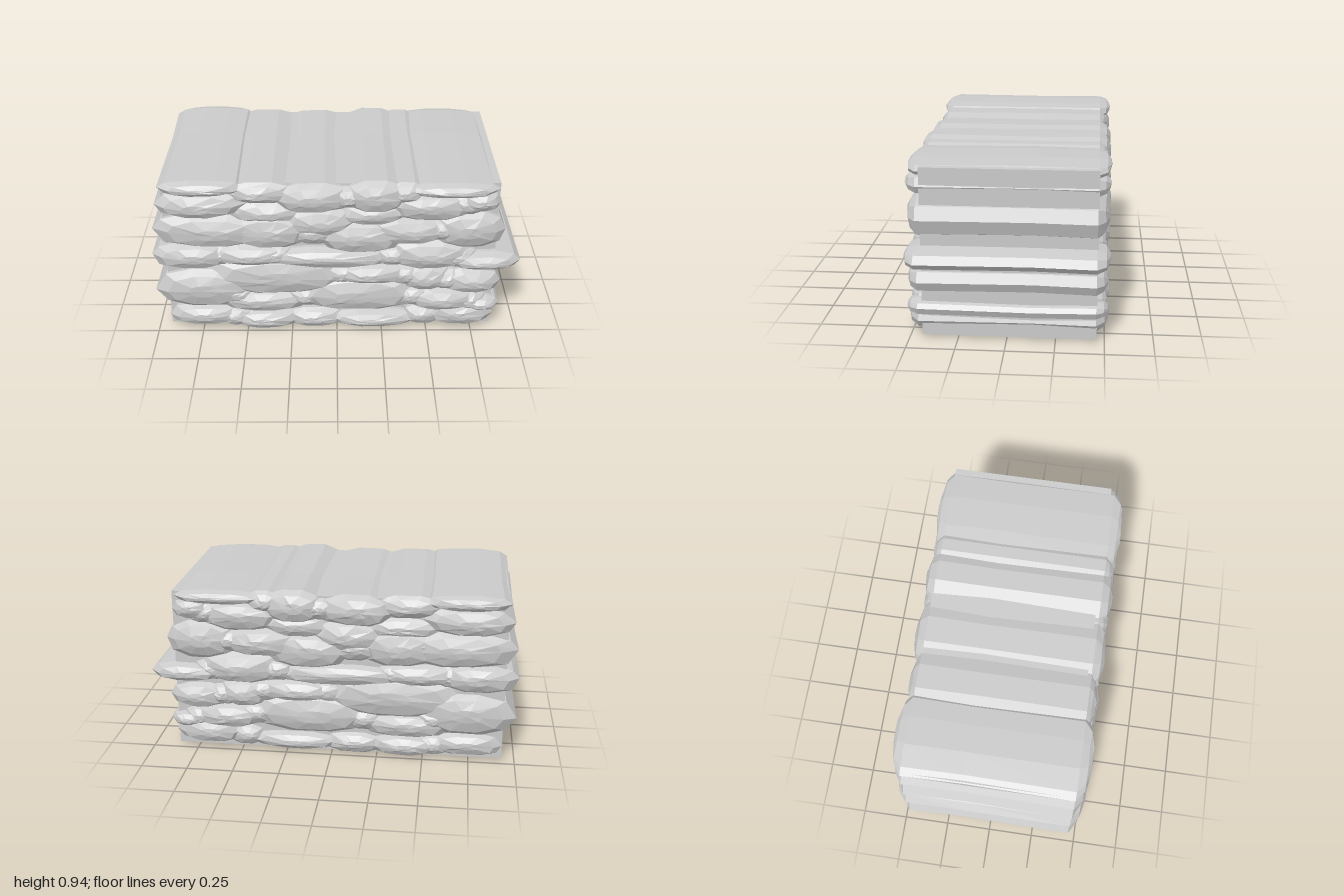
import * as THREE from 'three';

const stoneMat = new THREE.MeshStandardMaterial({ color: 0xcacaca, flatShading: true });
stoneMat.name = 'grey stone';

// small seeded random
let seed = 7;
function rand() {
  seed = (seed * 16807) % 2147483647;
  return seed / 2147483647;
}
const jitter = (a) => (rand() * 2 - 1) * a;

// main stones of each course, bottom to top: [x0, x1, y0, y1]
const courses = [
  [[-0.94, -0.52, 0.02, 0.16], [-0.59, -0.19, 0, 0.13], [-0.05, 0.47, 0.01, 0.12],
    [0.49, 0.87, 0.02, 0.18]],
  [[-0.995, -0.44, 0.14, 0.39], [-0.66, -0.15, 0.11, 0.26], [-0.21, 0.46, 0.11, 0.35],
    [0.38, 0.78, 0.12, 0.27], [0.69, 0.9, 0.12, 0.21]],
  [[-0.72, 0.06, 0.22, 0.47], [-0.01, 0.41, 0.3, 0.43], [0.34, 0.63, 0.25, 0.42],
    [0.56, 0.9, 0.23, 0.39]],
  [[-1.0, -0.58, 0.39, 0.56], [-0.71, -0.24, 0.42, 0.55], [-0.42, 0.34, 0.4, 0.53],
    [0.26, 0.73, 0.39, 0.58], [0.6, 1.0, 0.39, 0.5]],
  [[-0.985, -0.38, 0.53, 0.74], [-0.58, -0.15, 0.52, 0.74], [-0.1, 0.37, 0.49, 0.7],
    [0.15, 0.6, 0.55, 0.72], [0.51, 0.905, 0.52, 0.75]],
  [[-0.96, -0.48, 0.71, 0.88], [-0.28, 0.1, 0.6, 0.78], [0.28, 0.72, 0.69, 0.86],
    [0.65, 0.865, 0.75, 0.87]],
  [[-0.95, -0.48, 0.85, 0.936], [-0.33, 0.09, 0.74, 0.92], [0.04, 0.38, 0.74, 0.938],
    [0.35, 0.865, 0.84, 0.92]],
];

// a small stone tucked into the joint between two neighbours
function wedge(a, b) {
  const x = (a[1] + b[0]) / 2;
  const y = (a[2] + a[3] + b[2] + b[3]) / 4;
  const rx = Math.max(0, b[0] - a[1]) / 2 + 0.1;
  return [x - rx, x + rx, y - 0.065, y + 0.065];
}

// a stone runs the full depth of the wall and bulges at both ends
function stoneGeometry([x0, x1, y0, y1], reach) {
  const sides = 10;
  const cx = (x0 + x1) / 2, cy = (y0 + y1) / 2;
  const rx = (x1 - x0) / 2, ry = (y1 - y0) / 2;
  const tip = reach + jitter(0.004);

  // blunt outline with uneven corners
  const outline = [];
  for (let i = 0; i < sides; i++) {
    const a = ((i + jitter(0.15)) / sides) * Math.PI * 2;
    const c = Math.cos(a), s = Math.sin(a);
    outline.push([
      Math.sign(c) * Math.abs(c) ** 0.9 * rx * (1 + jitter(0.03)),
      Math.sign(s) * Math.abs(s) ** 0.8 * ry * (1 + jitter(0.03)),
    ]);
  }

  // [z, scale] rings from back to front, the ends leaning off centre
  const rings = [
    [-tip, 0.3], [-tip + 0.02, 0.74], [-0.455, 1], [-0.13, 0.97],
    [0.455, 1], [tip - 0.02, 0.74], [tip, 0.3],
  ];
  const leanX = jitter(0.15) * rx, leanY = jitter(0.15) * ry;
  const pos = [], index = [];
  rings.forEach(([z, k], r) => {
    const wobble = r === 3 ? jitter(0.008) : 0;
    for (const [px, py] of outline) {
      pos.push(
        THREE.MathUtils.clamp(cx + px * k + leanX * (1 - k), -1, 1),
        THREE.MathUtils.clamp(cy + py * k + leanY * (1 - k) + wobble, 0, 0.938),
        z + (k < 0.9 ? jitter(0.003) : 0),
      );
    }
  });
  for (let r = 0; r < rings.length - 1; r++) {
    for (let i = 0; i < sides; i++) {
      const a = r * sides + i, b = r * sides + ((i + 1) % sides);
      index.push(a, b, b + sides, a, b + sides, a + sides);
    }
  }

  // end caps
  const last = (rings.length - 1) * sides;
  const back = pos.length / 3, front = back + 1;
  for (const z of [-tip - 0.003, tip + 0.003]) pos.push(cx + leanX, cy + leanY, z);
  for (let i = 0; i < sides; i++) {
    const j = (i + 1) % sides;
    index.push(back, j, i, front, last + i, last + j);
  }
  const geo = new THREE.BufferGeometry();
  geo.setAttribute('position', new THREE.Float32BufferAttribute(pos, 3));
  geo.setIndex(index);
  geo.computeVertexNormals();
  return geo;
}

export function createModel() {
  seed = 7;
  const wall = new THREE.Group();
  wall.name = 'stoneWall';

  // solid core behind the stones
  const core = new THREE.Mesh(new THREE.BoxGeometry(1.79, 0.892, 0.895), stoneMat);
  core.name = 'core';
  core.position.set(-0.035, 0.459, -0.0125);
  wall.add(core);

  // courses of main stones, with shallower wedges in the joints
  courses.forEach((course, c) => {
    const row = new THREE.Group();
    row.name = `course${c + 1}`;
    const addStone = (box, reach, name) => {
      const stone = new THREE.Mesh(stoneGeometry(box, reach), stoneMat);
      stone.name = name;
      row.add(stone);
    };
    course.forEach((box, i) => {
      addStone(box, 0.516, `stone${i + 1}`);
      if (i > 0) addStone(wedge(course[i - 1], box), 0.502, `wedge${i}`);
    });
    wall.add(row);
  });
  return wall;
}
